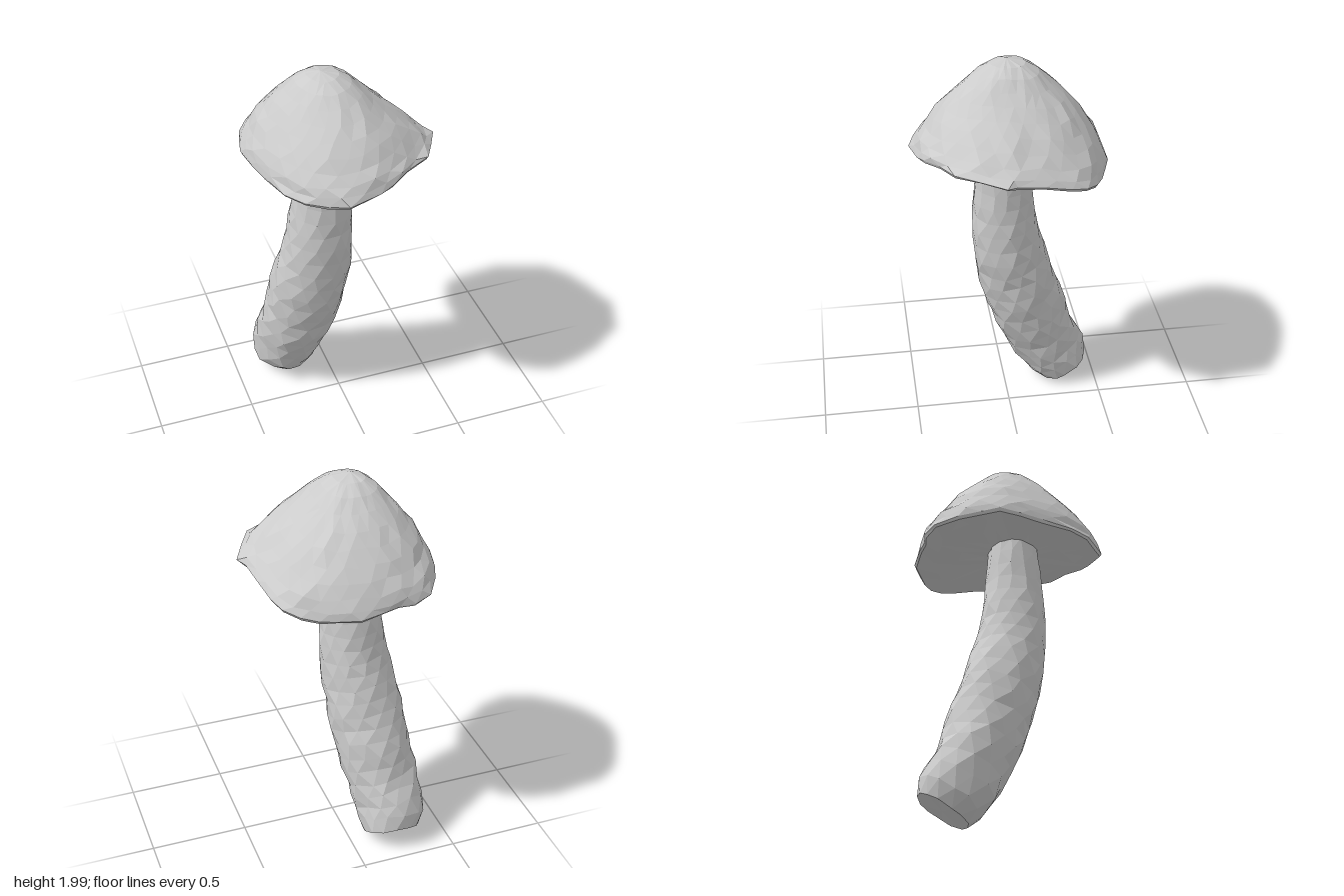
import * as THREE from 'three';

// Small seeded noise in -1..1
function makeNoise(seed) {
  let s = seed;
  return () => {
    s = (s * 16807) % 2147483647;
    return (s / 2147483647) * 2 - 1;
  };
}

// Skin a stack of equal-sized rings (bottom to top), splitting each quad along its shorter diagonal
function loft(rings) {
  const n = rings[0].length;
  const out = [];
  const tri = (a, b, c) => {
    if (a.equals(b) || b.equals(c) || a.equals(c)) return;
    for (const p of [a, b, c]) out.push(p.x, p.y, p.z);
  };
  for (let r = 0; r < rings.length - 1; r++) {
    for (let i = 0; i < n; i++) {
      const j = (i + 1) % n;
      const a = rings[r][i], b = rings[r][j], c = rings[r + 1][j], d = rings[r + 1][i];
      if (a.distanceTo(c) < b.distanceTo(d)) { tri(a, b, c); tri(a, c, d); }
      else { tri(a, b, d); tri(b, c, d); }
    }
  }
  const geo = new THREE.BufferGeometry();
  geo.setAttribute('position', new THREE.Float32BufferAttribute(out, 3));
  geo.computeVertexNormals();
  return geo;
}

// Bent stem: rings square to a curved centre line, each station is x, y, z, radius
function stemGeometry() {
  const noise = makeNoise(71);
  const stations = [
    [-0.21, 0.078, -0.335, 0.142], [-0.225, 0.155, -0.287, 0.172], [-0.21, 0.3, -0.21, 0.184],
    [-0.175, 0.5, -0.133, 0.196], [-0.145, 0.75, -0.056, 0.196], [-0.113, 1.0, 0.0, 0.177],
    [-0.1, 1.25, 0.015, 0.152], [-0.085, 1.55, 0.015, 0.126],
  ];
  const curve = new THREE.CatmullRomCurve3(stations.map(s => new THREE.Vector3(s[0], s[1], s[2])));
  const sides = 13, steps = 20, last = stations.length - 1;
  const rings = [];
  for (let k = 0; k <= steps; k++) {
    const t = curve.getUtoTmapping(k / steps);
    const f = t * last, i = Math.min(Math.floor(f), last - 1);
    const radius = THREE.MathUtils.lerp(stations[i][3], stations[i + 1][3], f - i);
    const centre = curve.getPoint(t);
    const dir = curve.getTangent(Math.max(t, 0.14));
    const u = new THREE.Vector3(1, 0, 0).addScaledVector(dir, -dir.x).normalize();
    const w = new THREE.Vector3().crossVectors(dir, u);
    const rough = k === 0 ? 0.005 : 0.012 * (1 - 0.75 * t);
    const stagger = t < 0.85 ? (k % 2) * 0.45 : 0;
    const ring = [];
    for (let s = 0; s < sides; s++) {
      const a = ((s + stagger + noise() * 0.15) / sides) * Math.PI * 2;
      const r = radius + noise() * rough;
      ring.push(centre.clone()
        .addScaledVector(u, Math.cos(a) * r)
        .addScaledVector(w, Math.sin(a) * r)
        .addScaledVector(dir, noise() * rough));
    }
    rings.push(ring);
  }
  // Close both ends
  rings.unshift(rings[0].map(() => curve.getPoint(0)));
  rings.push(rings[0].map(() => curve.getPoint(1)));
  return loft(rings);
}

// Cap: wavy rim, domed top and shallow underside in one closed skin
function capGeometry() {
  const noise = makeNoise(2024);
  const rim = [
    [0.46, 1.585, 0.07], [0.43, 1.575, 0.02], [0.415, 1.555, -0.11], [0.39, 1.52, -0.24],
    [0.36, 1.5, -0.32], [0.29, 1.475, -0.38], [0.21, 1.46, -0.42], [0.13, 1.46, -0.45],
    [0.03, 1.465, -0.485], [-0.1, 1.48, -0.47], [-0.17, 1.485, -0.455], [-0.25, 1.49, -0.46],
    [-0.34, 1.5, -0.42], [-0.41, 1.52, -0.31], [-0.44, 1.54, -0.2], [-0.46, 1.56, -0.11],
    [-0.44, 1.55, 0], [-0.41, 1.54, 0.11], [-0.36, 1.53, 0.27], [-0.29, 1.53, 0.37],
    [-0.2, 1.53, 0.43], [-0.11, 1.54, 0.48], [0.05, 1.56, 0.45], [0.12, 1.58, 0.425],
    [0.22, 1.6, 0.36], [0.34, 1.61, 0.3], [0.4, 1.6, 0.19],
  ].map(p => new THREE.Vector3(...p));
  const n = rim.length;
  const apex = new THREE.Vector3(-0.09, 2, 0);
  const root = new THREE.Vector3(-0.085, 1.53, 0.015);
  const rings = [];

  // Underside, from the stem out to just inside the rim
  for (const f of [0, 0.3, 0.55, 0.8, 0.98]) {
    rings.push(rim.map(p => {
      const q = root.clone().lerp(p, f);
      if (f > 0) q.y += 0.01 * Math.sin(f * Math.PI) + noise() * 0.005;
      return q;
    }));
  }

  // Dome: height share, reach on the round sides, reach on the sloping left side
  const dome = [
    [0.03, 1, 1], [0.1, 0.99, 0.955], [0.19, 0.95, 0.87], [0.3, 0.88, 0.77], [0.42, 0.795, 0.655],
    [0.54, 0.695, 0.545], [0.66, 0.575, 0.44], [0.77, 0.45, 0.35], [0.88, 0.32, 0.26],
    [0.96, 0.18, 0.16], [1, 0, 0],
  ];
  let outline = rim;
  dome.forEach(([t, round, slope], k) => {
    // The outline grows rounder with height, which fades the corners of the rim
    if (k > 0 && k < 7) {
      const from = outline;
      outline = from.map((p, i) => p.clone().multiplyScalar(2)
        .add(from[(i + 1) % n]).add(from[(i + n - 1) % n]).multiplyScalar(0.25));
      for (const p of outline) {
        p.x = apex.x + (p.x - apex.x) * 1.014;
        p.z = apex.z + (p.z - apex.z) * 1.014;
      }
    }
    const rough = k === 0 || t === 1 ? 0 : 0.012;
    // Every other ring is turned by about half a step
    rings.push(outline.map((corner, i) => {
      const turn = k === 0 ? 0 : (k % 2) * 0.45 + noise() * 0.12;
      const p = corner.clone().lerp(outline[(i + 1) % n], turn);
      const dx = p.x - apex.x, dz = p.z - apex.z, len = Math.hypot(dx, dz);
      const side = Math.max(0, dx / len) ** 3 + 0.2 * Math.max(0, -dz / len) ** 4;
      const f = THREE.MathUtils.lerp(round, slope, side) * (1 + noise() * rough * 1.2);
      const y = THREE.MathUtils.lerp(p.y, apex.y, t) + noise() * rough * (1 - t * 0.8);
      return new THREE.Vector3(apex.x + dx * f, y, apex.z + dz * f);
    }));
  });
  return loft(rings);
}

export function createModel() {
  const group = new THREE.Group();
  group.name = 'mushroom';
  const material = new THREE.MeshStandardMaterial({ color: 0xcccccc, flatShading: true });
  const add = (name, geometry) => {
    const mesh = new THREE.Mesh(geometry, material);
    mesh.name = name;
    group.add(mesh);
  };
  add('stem', stemGeometry());
  add('cap', capGeometry());
  return group;
}
